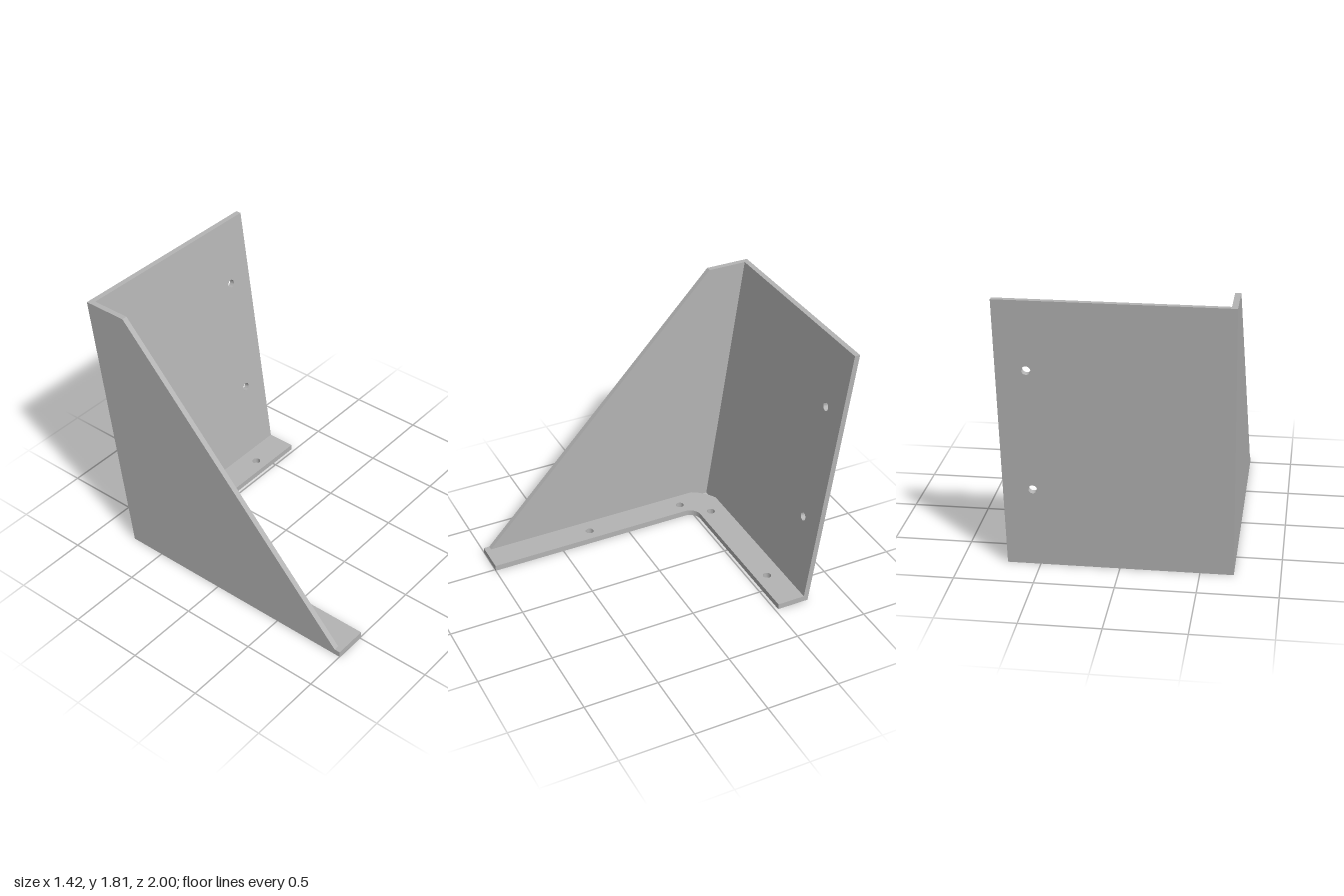
import * as THREE from 'three';
import { toCreasedNormals } from 'three/addons/utils/BufferGeometryUtils.js';

const HALF = 0.71;    // half width
const HEIGHT = 1.81;
const WALL = 0.036;   // plate thickness
const BASE = 0.04;    // base flange thickness
const BACK = -0.745;  // rear edge at ground level
const LEAN = 0.141;   // backward lean per unit of height
const HOLE_R = 0.028;

function drill(shape, centres) {
  for (const [x, y] of centres) {
    const hole = new THREE.Path();
    hole.absarc(x, y, HOLE_R, 0, Math.PI * 2, true);
    shape.holes.push(hole);
  }
}

function extrude(shape, depth) {
  return new THREE.ExtrudeGeometry(shape, { depth, bevelEnabled: false, curveSegments: 20 });
}

export function createModel() {
  const group = new THREE.Group();
  const grey = new THREE.MeshStandardMaterial({ color: 0xb4b4b4 });
  grey.name = 'plain grey';

  const add = (name, geometry) => {
    const mesh = new THREE.Mesh(toCreasedNormals(geometry, 0.5), grey);
    mesh.name = name;
    group.add(mesh);
  };

  // L-shaped base flange with concentric rounded corner, drawn in (x, -z)
  const cx = -0.406, cy = 0.441;
  const base = new THREE.Shape();
  base.moveTo(-HALF, -1);
  base.lineTo(-0.487, -1);
  base.lineTo(-0.487, cy);
  base.absarc(cx, cy, 0.081, Math.PI, Math.PI / 2, true);
  base.lineTo(HALF, 0.522);
  base.lineTo(HALF, -BACK);
  base.lineTo(cx, -BACK);
  base.absarc(cx, cy, 0.304, Math.PI / 2, Math.PI, false);
  base.closePath();
  drill(base, [[-0.405, 0.605], [0.41, 0.605], [-0.57, 0.44], [-0.57, -0.265]]);
  add('baseFlange', extrude(base, BASE).rotateX(-Math.PI / 2));

  // Leaning back plate; its holes are bored square to the plate
  const back = new THREE.Shape([
    [-HALF, 0], [HALF, 0], [HALF, HEIGHT], [-HALF, HEIGHT],
  ].map(([x, y]) => new THREE.Vector2(x, y)));
  drill(back, [[0.525, 0.545], [0.525, 1.36]]);
  const plate = extrude(back, WALL);
  const pos = plate.attributes.position;
  for (let i = 0; i < pos.count; i++) {
    const t = pos.getZ(i);
    let y = pos.getY(i);
    if (y > 0.1 && y < 1.7) y += LEAN * t;
    pos.setY(i, y);
    pos.setZ(i, BACK - LEAN * y + t);
  }
  plate.computeVertexNormals();
  add('backPlate', plate);

  // Sloping side gusset, drawn in (z, y)
  const inner = BACK + WALL;
  const side = new THREE.Shape([
    [0.96, BASE], [-0.7, HEIGHT], [inner - LEAN * HEIGHT, HEIGHT],
    [inner, 0], [-0.44, 0], [-0.44, BASE],
  ].map(([z, y]) => new THREE.Vector2(z, y)));
  const gusset = extrude(side, WALL).rotateY(-Math.PI / 2);
  add('sideGusset', gusset.translate(-HALF + WALL, 0, 0));

  return group;
}
